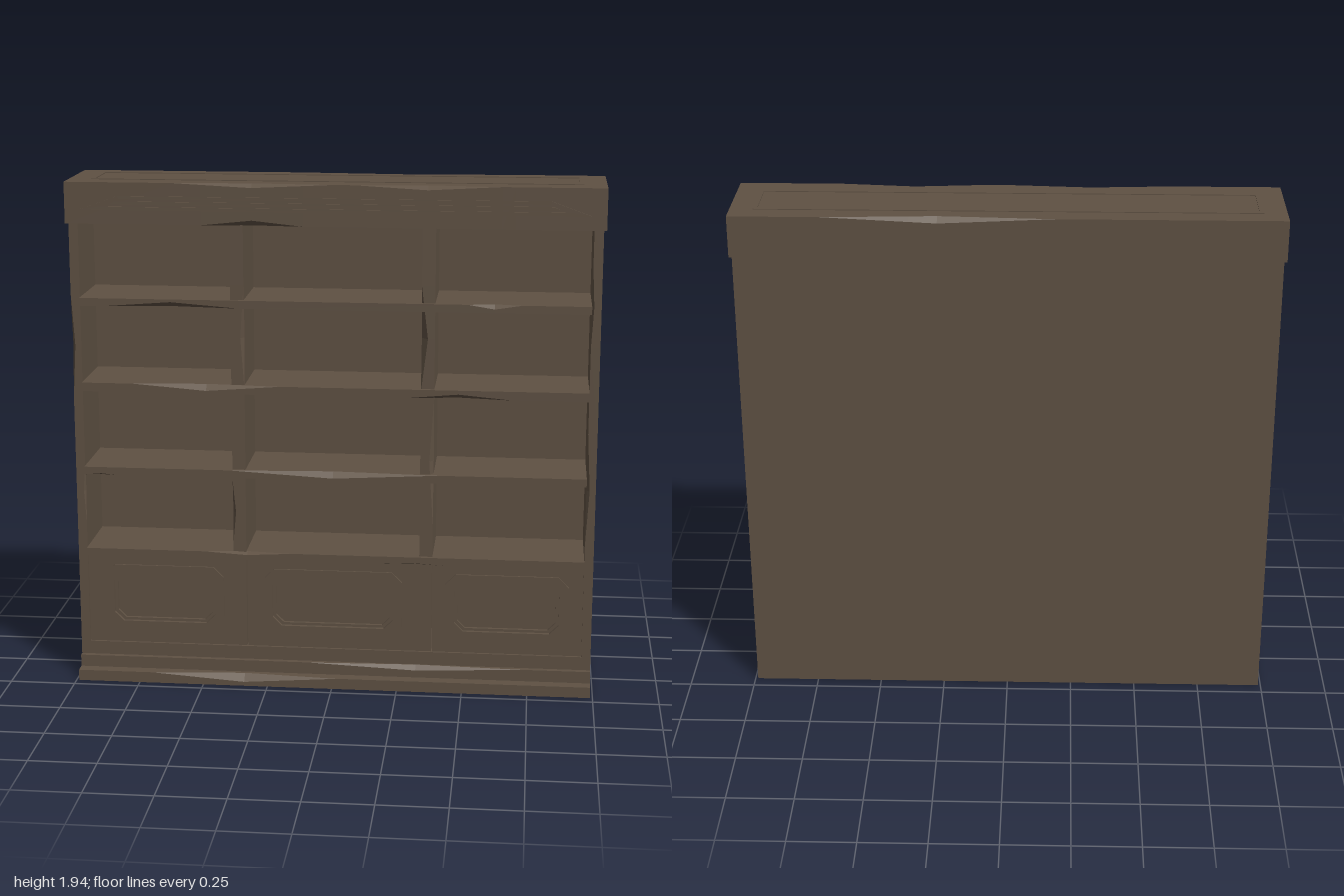
import * as THREE from 'three';

const wood = new THREE.MeshStandardMaterial({ color: 0x5f5143 });
wood.name = 'dark wood';

// Box from section loops along x; each chip [corner, centre, halfWidth, dy, dz] shaves one long edge.
// Corners: 0 front bottom, 1 front top, 2 back top, 3 back bottom.
function beam(x0, x1, y0, y1, z0, z1, chips = []) {
  const xs = new Set([x0, x1]);
  for (const [, c, w] of chips) {
    for (const x of [c - w, c, c + w]) if (x > x0 && x < x1) xs.add(x);
  }
  const stations = [...xs].sort((a, b) => a - b);
  const section = (x) => {
    const d = [[0, 0], [0, 0], [0, 0], [0, 0]];
    for (const [k, c, w, dy, dz] of chips) {
      const t = Math.max(0, 1 - Math.abs(x - c) / w);
      d[k][0] = Math.max(d[k][0], dy * t);
      d[k][1] = Math.max(d[k][1], dz * t);
    }
    return [
      [x, y0, z1 - d[0][1]], [x, y0 + d[0][0], z1],
      [x, y1 - d[1][0], z1], [x, y1, z1 - d[1][1]],
      [x, y1, z0 + d[2][1]], [x, y1 - d[2][0], z0],
      [x, y0 + d[3][0], z0], [x, y0, z0 + d[3][1]],
    ];
  };
  const loops = stations.map(section);
  const pos = [];
  const tri = (a, b, c) => pos.push(...a, ...b, ...c);
  for (let i = 0; i + 1 < loops.length; i++) {
    for (let j = 0; j < 8; j++) {
      const k = (j + 1) % 8, A = loops[i], B = loops[i + 1];
      tri(A[j], B[j], B[k]);
      tri(A[j], B[k], A[k]);
    }
  }
  const first = loops[0], last = loops[loops.length - 1];
  for (let j = 1; j < 7; j++) {
    tri(first[0], first[j], first[j + 1]);
    tri(last[0], last[j + 1], last[j]);
  }
  const g = new THREE.BufferGeometry();
  g.setAttribute('position', new THREE.Float32BufferAttribute(pos, 3));
  g.computeVertexNormals();
  return g;
}

// Vertical beam: corner 0 is its front +x edge, corner 1 its front -x edge
const post = (xa, xb, y0, y1, z0, z1, chips) =>
  beam(y0, y1, -xb, -xa, z0, z1, chips).rotateZ(Math.PI / 2);

// Rectangle with cut corners, as points
function octagon(xa, xb, ya, yb, c) {
  return [[xa + c, ya], [xb - c, ya], [xb, ya + c], [xb, yb - c],
    [xb - c, yb], [xa + c, yb], [xa, yb - c], [xa, ya + c]];
}
const vec = (pts) => pts.map(([x, y]) => new THREE.Vector2(x, y));

// Flat plate with an optional hole, from z to z + depth
function plate(outer, hole, z, depth) {
  const s = new THREE.Shape(vec(outer));
  if (hole) s.holes.push(new THREE.Path(vec(hole)));
  return new THREE.ExtrudeGeometry(s, { depth, bevelEnabled: false }).translate(0, 0, z);
}

export function createModel() {
  const model = new THREE.Group();
  model.name = 'bookcase';
  const add = (name, geometry, parent = model) => {
    const m = new THREE.Mesh(geometry, wood);
    m.name = name;
    parent.add(m);
    return m;
  };

  // Carcass
  add('backPanel', beam(-0.99, 0.99, 0, 1.79, -0.2, -0.13));
  add('rightSide', post(-0.99, -0.955, 0, 1.79, -0.13, 0.145,
    [[1, 1.32, 0.2, 0.012, 0.02], [0, 0.75, 0.12, 0.008, 0.01]]));
  add('leftSide', post(0.955, 0.99, 0, 1.79, -0.13, 0.145,
    [[1, 0.8, 0.22, 0.012, 0.012], [1, 1.5, 0.15, 0.008, 0.01]]));
  add('rightDivider', post(-0.385, -0.335, 0.5, 1.79, -0.13, 0.145,
    [[0, 1.36, 0.2, 0.014, 0.02], [1, 0.68, 0.13, 0.012, 0.015]]));
  add('leftDivider', post(0.33, 0.38, 0.5, 1.79, -0.13, 0.145,
    [[1, 1.37, 0.2, 0.024, 0.025], [0, 0.9, 0.25, 0.016, 0.02]]));

  // Shelves with worn front edges
  const shelves = [
    [0.495, 0.525, [[0, 0.3, 0.13, 0.008, 0.02], [1, -0.33, 0.17, 0.01, 0.02]]],
    [0.82, 0.85, [[1, 0, 0.4, 0.022, 0.025], [0, -0.89, 0.06, 0.006, 0.01]]],
    [1.147, 1.18, [[1, -0.48, 0.28, 0.022, 0.025], [0, 0.47, 0.2, 0.018, 0.03]]],
    [1.475, 1.505, [[0, -0.61, 0.26, 0.02, 0.03], [1, 0.6, 0.1, 0.016, 0.02]]],
  ];
  for (const [y0, y1, chips] of shelves) {
    add('shelf', beam(-0.955, 0.955, y0, y1, -0.13, 0.16, chips));
  }

  // Stepped base
  add('plinth', beam(-0.955, 0.955, 0, 0.14, -0.13, 0.145));
  add('baseStep', beam(-0.99, 0.99, 0.04, 0.088, 0.14, 0.165,
    [[1, 0.32, 0.42, 0.018, 0.018]]));
  add('baseBoard', beam(-0.99, 0.99, 0, 0.042, 0.14, 0.21,
    [[1, -0.34, 0.36, 0.026, 0.03]]));

  // Cupboard doors: frame, raised moulding and sunken panel
  const doors = [
    [-0.955, -0.337, -0.89, -0.425],
    [-0.333, 0.378, -0.27, 0.265],
    [0.382, 0.955, 0.43, 0.9],
  ];
  for (const [xa, xb, pa, pb] of doors) {
    const door = new THREE.Group();
    door.name = 'cupboardDoor';
    model.add(door);
    const hole = octagon(pa + 0.035, pb - 0.035, 0.227, 0.423, 0.035);
    add('doorFrame', plate([[xa, 0.14], [xb, 0.14], [xb, 0.495], [xa, 0.495]], hole, 0.1, 0.035), door);
    add('doorMoulding', plate(octagon(pa, pb, 0.195, 0.455, 0.04), hole, 0.13, 0.012), door);
    add('innerMoulding', plate(hole, octagon(pa + 0.047, pb - 0.047, 0.237, 0.413, 0.03), 0.11, 0.018), door);
    add('doorPanel', beam(pa, pb, 0.2, 0.45, 0.1, 0.115), door);
  }

  // Crown with worn edges
  add('crown', beam(-1, 1, 1.785, 1.94, -0.21, 0.16, [
    [1, -0.3, 0.3, 0.015, 0.02], [1, 0.35, 0.27, 0.015, 0.025],
    [0, -0.3, 0.19, 0.02, 0.02], [2, 0.25, 0.42, 0.02, 0.022],
  ]));

  // Tapered moulding on the crown front
  const taper = (bottom, top, ya, yb) => [[-bottom, ya], [bottom, ya], [top, yb], [-top, yb]];
  add('crownMoulding', plate(taper(0.945, 0.8, 1.838, 1.89),
    taper(0.87, 0.795, 1.85, 1.88), 0.155, 0.01));
  add('crownMouldingBar', plate(taper(0.83, 0.81, 1.858, 1.87), null, 0.155, 0.01));

  // Low border on the crown top
  const border = plate([[-0.915, -0.075], [0.915, -0.075], [0.915, 0.135], [-0.915, 0.135]],
    [[-0.9, -0.062], [0.9, -0.062], [0.9, 0.122], [-0.9, 0.122]], 0, 0.003);
  add('crownTopBorder', border.rotateX(-Math.PI / 2).translate(0, 1.94, 0));

  return model;
}
